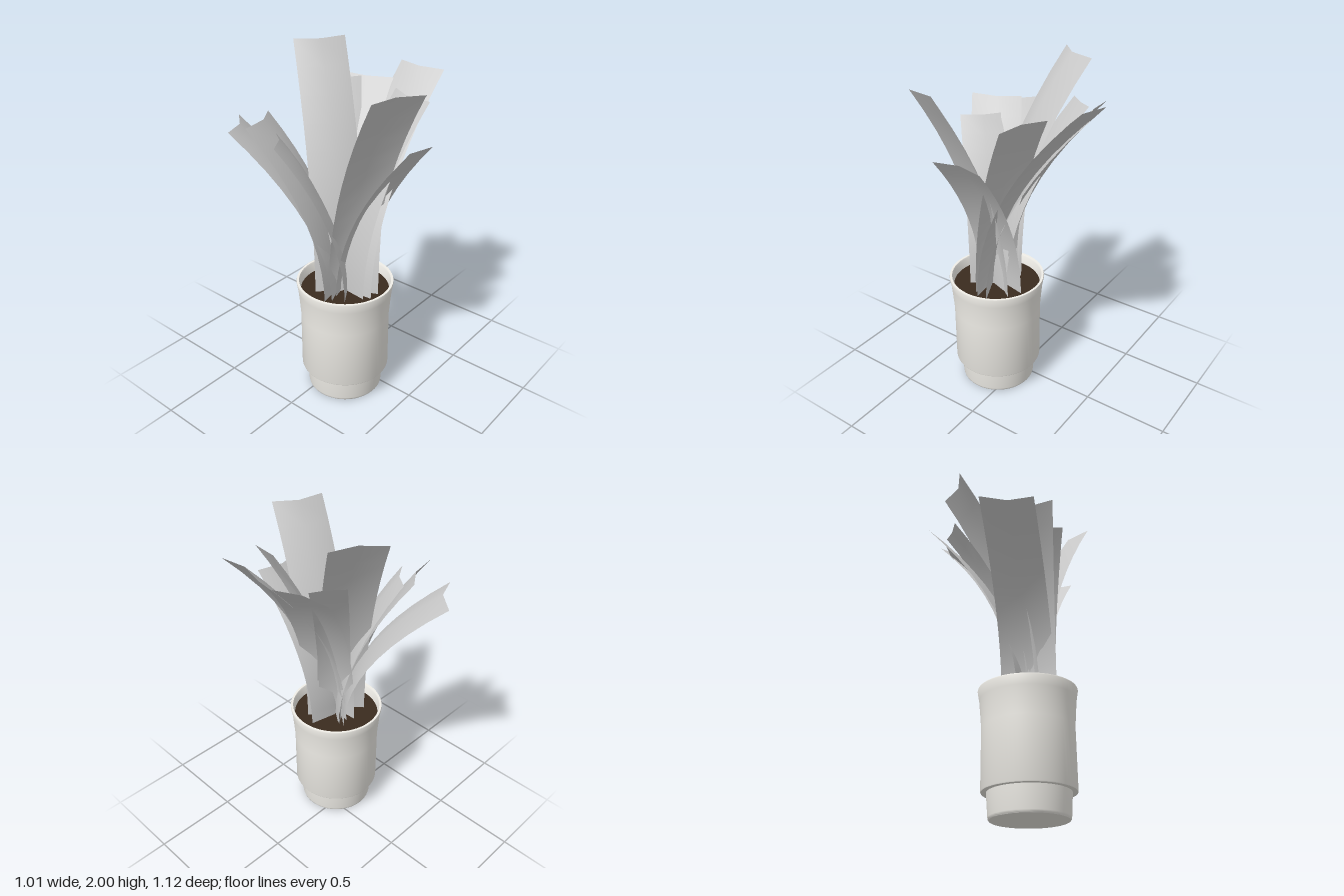
import * as THREE from 'three';
import { toCreasedNormals } from 'three/addons/utils/BufferGeometryUtils.js';

const CX = -0.11, CZ = 0.09; // pot axis
const BASE_Y = 0.64;

const leafMaterial = new THREE.MeshStandardMaterial({ color: 0xcccccc, side: THREE.DoubleSide });
const potMaterial = new THREE.MeshStandardMaterial({ color: 0xf0eee8 });
const soilMaterial = new THREE.MeshStandardMaterial({ color: 0x3a2b1f });

// Surface of revolution around the pot axis, profile given as [radius, y]
function turned(name, profile, material) {
  const points = profile.map(([r, y]) => new THREE.Vector2(r, y));
  const geometry = toCreasedNormals(new THREE.LatheGeometry(points, 64), 0.6);
  const mesh = new THREE.Mesh(geometry, material);
  mesh.name = name;
  mesh.position.set(CX, 0, CZ);
  return mesh;
}

// Channelled strip of constant width, swept outwards as the square of its height.
// tip: three [x, z] points across the end; base: [x, z] of the middle of the foot
function leaf(tip, topY, base) {
  const rows = 10, positions = [], index = [];
  const midX = (tip[0][0] + tip[2][0]) / 2, midZ = (tip[0][1] + tip[2][1]) / 2;
  for (let i = 0; i <= rows; i++) {
    const t = i / rows, back = 1 - t * t;
    for (const [x, z] of tip) {
      positions.push(x + (base[0] - midX) * back, BASE_Y + (topY - BASE_Y) * t, z + (base[1] - midZ) * back);
    }
    if (i === rows) break;
    for (let j = 0; j < 2; j++) {
      const a = i * 3 + j;
      index.push(a, a + 1, a + 4, a, a + 4, a + 3);
    }
  }
  const geometry = new THREE.BufferGeometry();
  geometry.setAttribute('position', new THREE.Float32BufferAttribute(positions, 3));
  geometry.setIndex(index);
  geometry.computeVertexNormals();
  const mesh = new THREE.Mesh(geometry, leafMaterial);
  mesh.name = 'leaf';
  return mesh;
}

export function createModel() {
  const model = new THREE.Group();
  model.name = 'pottedPlant';

  // Pot: narrow foot, stepped body, flared rim, inner wall down to the soil
  model.add(turned('pot', [
    [0, 0], [0.214, 0], [0.219, 0.006], [0.221, 0.016], [0.23, 0.145], [0.258, 0.145], [0.26, 0.15],
    [0.259, 0.5], [0.265, 0.58], [0.272, 0.66], [0.281, 0.713], [0.279, 0.72],
    [0.266, 0.72], [0.262, 0.712], [0.254, 0.64],
  ], potMaterial));

  model.add(turned('soil', [[0.257, 0.66], [0, 0.66]], soilMaterial));

  // Leaves: tip points, tip height, foot
  const foliage = new THREE.Group();
  foliage.name = 'leaves';
  const leaves = [
    [[[-0.36, 0.45], [-0.2, 0.47], [-0.08, 0.56]], 1.9, [-0.1, 0.13]],
    [[[-0.19, 0.5], [-0.05, 0.46], [0.105, 0.495]], 1.57, [-0.07, 0.11]],
    [[[0.17, 0.42], [0.185, 0.26], [0.26, 0.14]], 1.775, [-0.1, 0.11]],
    [[[0.48, 0.3], [0.46, 0.15], [0.505, 0]], 1.855, [-0.1, 0.13]],
    [[[0.43, 0.02], [0.355, -0.14], [0.345, -0.305]], 1.77, [-0.09, 0.12]],
    [[[0.325, -0.15], [0.25, -0.19], [0.17, -0.26]], 1.775, [-0.09, 0.08]],
    [[[0.28, -0.235], [0.13, -0.285], [0.03, -0.395]], 2.0, [-0.13, 0.07]],
    [[[-0.25, -0.565], [-0.355, -0.445], [-0.49, -0.39]], 1.605, [-0.15, 0.04]],
    [[[-0.235, -0.345], [-0.355, -0.26], [-0.51, -0.23]], 1.67, [-0.16, 0.04]],
    [[[-0.27, -0.27], [-0.365, -0.14], [-0.475, -0.07]], 1.59, [-0.13, 0.09]],
  ];
  for (const [tip, topY, base] of leaves) foliage.add(leaf(tip, topY, base));
  model.add(foliage);

  return model;
}
